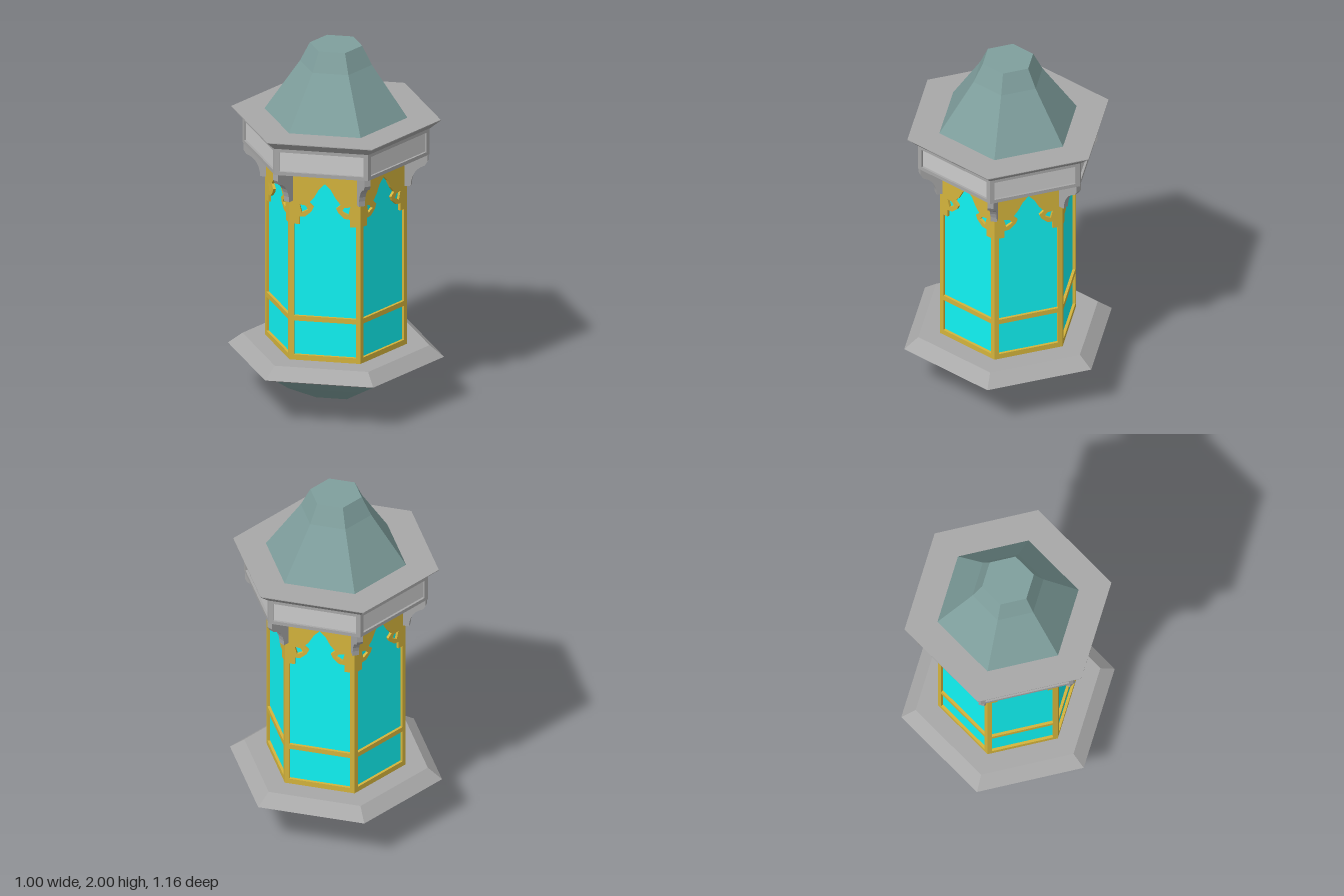
import * as THREE from 'three';

const mat = (color) => new THREE.MeshStandardMaterial({ color, flatShading: true });

export function createModel() {
  const group = new THREE.Group();
  const slate = mat(0x7f9f9d), stone = mat(0xa8a8a8), panelGrey = mat(0xcccccc);
  const gold = mat(0xd4b43c), glass = mat(0x10f4f4);
  const COS30 = Math.cos(Math.PI / 6);

  const add = (parent, name, geometry, material) => {
    const mesh = new THREE.Mesh(geometry, material);
    mesh.name = name;
    parent.add(mesh);
    return mesh;
  };
  // Hexagonal solid from [corner radius, height] pairs, bottom to top
  const hex = (name, profile, material) => add(group, name,
    new THREE.LatheGeometry(profile.map(([r, y]) => new THREE.Vector2(r, y)), 6), material);
  const points = (list) => list.map(([x, y]) => new THREE.Vector2(x, y));
  const rect = (w, y0, y1) => points([[-w, y0], [w, y0], [w, y1], [-w, y1]]);
  // Flat panel with openings; its outer surface lies at z = front
  const pierced = (outline, holes, depth, front) => {
    const shape = new THREE.Shape(outline);
    holes.forEach((h) => shape.holes.push(new THREE.Path(h)));
    return new THREE.ExtrudeGeometry(shape, { depth, bevelEnabled: false })
      .translate(0, 0, front - depth);
  };

  // Bowl and sill
  hex('bowl', [[0, 0], [0.06, 0.015], [0.165, 0.05], [0.39, 0.17], [0.49, 0.24]], slate);
  hex('sill', [[0.45, 0.235], [0.495, 0.238], [0.578, 0.27], [0.5, 0.33], [0, 0.33]], stone);

  // Glazed core
  hex('glass', [[0.363, 0.33], [0.363, 1.41]], glass);

  // Cornice with a flared lip, and roof
  hex('friezeCore', [[0, 1.412], [0.486, 1.412], [0.486, 1.56]], panelGrey);
  hex('corniceLip', [[0.44, 1.56], [0.505, 1.56], [0.56, 1.606], [0.56, 1.61], [0, 1.61]], stone);
  hex('roof', [[0.382, 1.61], [0.192, 1.895], [0.14, 2], [0, 2]], slate);

  // Window opening: stepped sides and a pointed lobed head
  const half = [[0.165, 0.58], [0.165, 1.1], [0.135, 1.1], [0.135, 1.142], [0.105, 1.145],
    [0.072, 1.175], [0.06, 1.2], [0.085, 1.222], [0.058, 1.255], [0.032, 1.302]];
  const mirror = (list) => list.map(([x, y]) => [-x, y]).reverse();
  const windowHole = points([...half, [0, 1.335], ...mirror(half)]);
  const eyelet = [[0.09, 1.185], [0.124, 1.166], [0.136, 1.212], [0.104, 1.207]];
  const frameGeo = pierced(rect(0.19, 0.33, 1.41),
    [windowHole, rect(0.165, 0.36, 0.552), points(eyelet), points(mirror(eyelet))],
    0.02, 0.38 * COS30);
  const friezeGeo = pierced(rect(0.25, 1.41, 1.56), [rect(0.226, 1.43, 1.54)],
    0.016, 0.5 * COS30);

  // Corner bracket profile in the radial plane
  const profile = new THREE.Shape();
  profile.moveTo(0.35, 1.23);
  profile.lineTo(0.402, 1.23);
  profile.quadraticCurveTo(0.405, 1.325, 0.478, 1.352);
  profile.lineTo(0.492, 1.375);
  profile.lineTo(0.492, 1.412);
  profile.lineTo(0.35, 1.412);
  const bracketGeo = new THREE.ExtrudeGeometry(profile,
    { depth: 0.034, bevelEnabled: false, curveSegments: 6 });
  bracketGeo.translate(0, 0, -0.017).rotateY(-Math.PI / 2);

  // Six faces and six corners
  for (let i = 0; i < 6; i++) {
    const side = new THREE.Group();
    side.name = 'side';
    side.rotation.y = Math.PI / 6 + i * Math.PI / 3;
    add(side, 'windowFrame', frameGeo, gold);
    add(side, 'friezeFrame', friezeGeo, stone);
    group.add(side);
    add(group, 'bracket', bracketGeo, stone).rotation.y = i * Math.PI / 3;
  }
  return group;
}
